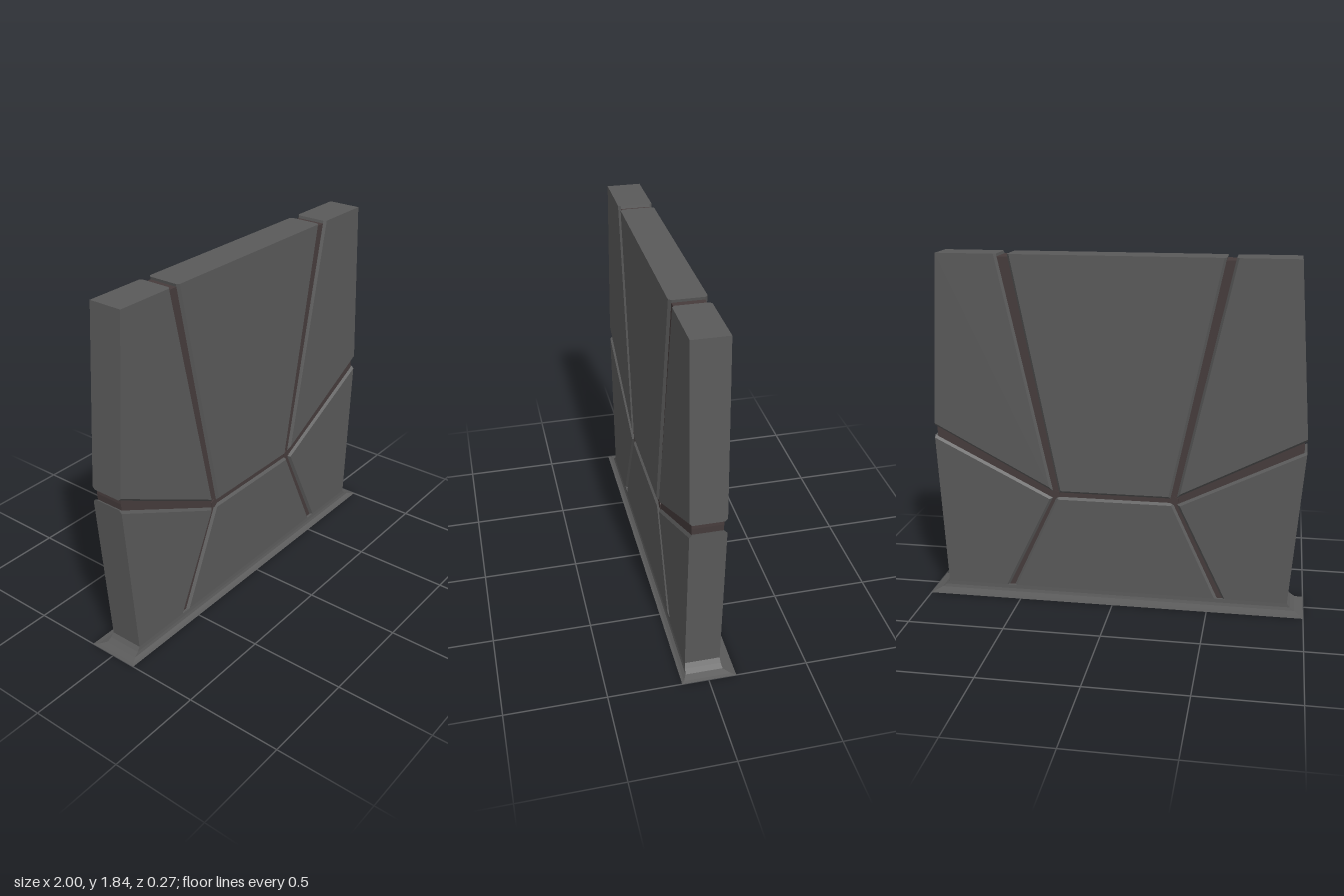
import * as THREE from 'three';

const FRONT = 0.10, BACK = -0.077, DEPTH = 0.013, BEVEL = 0.012, TOP = 1.835;

// Closed flat-shaded solid through rings of equal length (convex end caps)
function loft(rings) {
  const pos = [];
  const tri = (a, b, c) => pos.push(...a, ...b, ...c);
  const n = rings[0].length;
  for (let k = 0; k < rings.length - 1; k++) {
    for (let i = 0; i < n; i++) {
      const j = (i + 1) % n;
      tri(rings[k][i], rings[k][j], rings[k + 1][j]);
      tri(rings[k][i], rings[k + 1][j], rings[k + 1][i]);
    }
  }
  const first = rings[0], last = rings[rings.length - 1];
  for (let i = 1; i < n - 1; i++) {
    tri(first[0], first[i + 1], first[i]);
    tri(last[0], last[i], last[i + 1]);
  }
  const g = new THREE.BufferGeometry();
  g.setAttribute('position', new THREE.Float32BufferAttribute(pos, 3));
  g.computeVertexNormals();
  return g;
}

// Moves each edge of a counter-clockwise outline outwards by its own distance
function offset(pts, dist) {
  const n = pts.length;
  const edges = pts.map(([x, y], i) => {
    const [x2, y2] = pts[(i + 1) % n];
    const l = Math.hypot(x2 - x, y2 - y);
    const nx = (y2 - y) / l, ny = -(x2 - x) / l;
    return [nx, ny, nx * x + ny * y + dist[i]];
  });
  return pts.map((_, i) => {
    const [a, b, c] = edges[(i + n - 1) % n], [d, e, f] = edges[i];
    const det = a * e - b * d;
    return [(c * e - b * f) / det, (a * f - c * d) / det];
  });
}

const atZ = (pts, z) => pts.map(([x, y]) => [x, y, z]);

// Panel whose groove edges (flag 1) slope down to the groove floor
function panelGeometry(pts, groove) {
  const wide = offset(pts, groove.map(f => f * BEVEL));
  return loft([atZ(pts, BACK), atZ(wide, BACK + DEPTH), atZ(wide, FRONT - DEPTH), atZ(pts, FRONT)]);
}

// Mirrors an outline and its edge flags; the other flank bulges slightly more
function mirror(pts, groove) {
  const n = pts.length;
  const p = pts.map(([x, y]) => [x > 0.95 ? -x - 0.02 : -x, y]).reverse();
  return [p, groove.map((_, i) => groove[(2 * n - 2 - i) % n])];
}

export function createModel() {
  const group = new THREE.Group();
  const stone = new THREE.MeshStandardMaterial({ color: 0x5a5a5a, flatShading: true });
  const dark = new THREE.MeshStandardMaterial({ color: 0x463c3c, flatShading: true });
  const add = (name, geometry, material) => {
    const m = new THREE.Mesh(geometry, material);
    m.name = name;
    group.add(m);
    return m;
  };

  // Inner slab that shows as the floor of every groove
  const core = [[-0.9, 0.04], [0.9, 0.04], [0.948, 0.905], [0.9, TOP - 0.014],
    [-0.9, TOP - 0.014], [-0.968, 0.905]];
  add('grooveCore', loft([atZ(core, BACK + DEPTH), atZ(core, FRONT - DEPTH)]), dark);

  // Central panels
  add('upperCentrePanel', panelGeometry(
    [[-0.285, 0.603], [0.285, 0.603], [0.532, TOP], [-0.54, TOP]], [1, 1, 0, 1]), stone);
  add('lowerCentrePanel', panelGeometry(
    [[-0.535, 0.05], [0.535, 0.05], [0.3, 0.555], [-0.3, 0.555]], [0, 1, 1, 1]), stone);

  // Flank panels, mirrored
  const flanks = {
    UpperPanel: [[[0.345, 0.62], [0.96, 0.945], [0.915, TOP], [0.612, TOP]], [1, 0, 0, 1]],
    LowerPanel: [[[0.59, 0.05], [0.915, 0.05], [0.96, 0.865], [0.345, 0.555]], [0, 0, 1, 1]],
  };
  for (const [name, [pts, groove]] of Object.entries(flanks)) {
    add('left' + name, panelGeometry(pts, groove), stone);
    add('right' + name, panelGeometry(...mirror(pts, groove)), stone);
  }

  // Small six-sided hubs where the grooves meet, front and back
  for (const s of [-1, 1]) {
    const hub = add(s > 0 ? 'leftHub' : 'rightHub',
      new THREE.CylinderGeometry(0.024, 0.024, FRONT - BACK - 2 * DEPTH + 0.008, 6), dark);
    hub.rotation.x = Math.PI / 2;
    hub.position.set(s * 0.315, 0.58, (FRONT + BACK) / 2);
  }

  // Foot flaring out to a thin flange: y, half width, front z, back z
  const foot = [[0, 1, 0.133, -0.14], [0.004, 0.985, 0.12, -0.115], [0.014, 0.955, 0.106, -0.082],
    [0.03, 0.932, 0.102, -0.078], [0.05, 0.915, FRONT, BACK]];
  add('flaredFoot', loft(foot.map(([y, w, f, b]) => [[w, y, f], [w, y, b], [-w, y, b], [-w, y, f]])), stone);

  return group;
}
